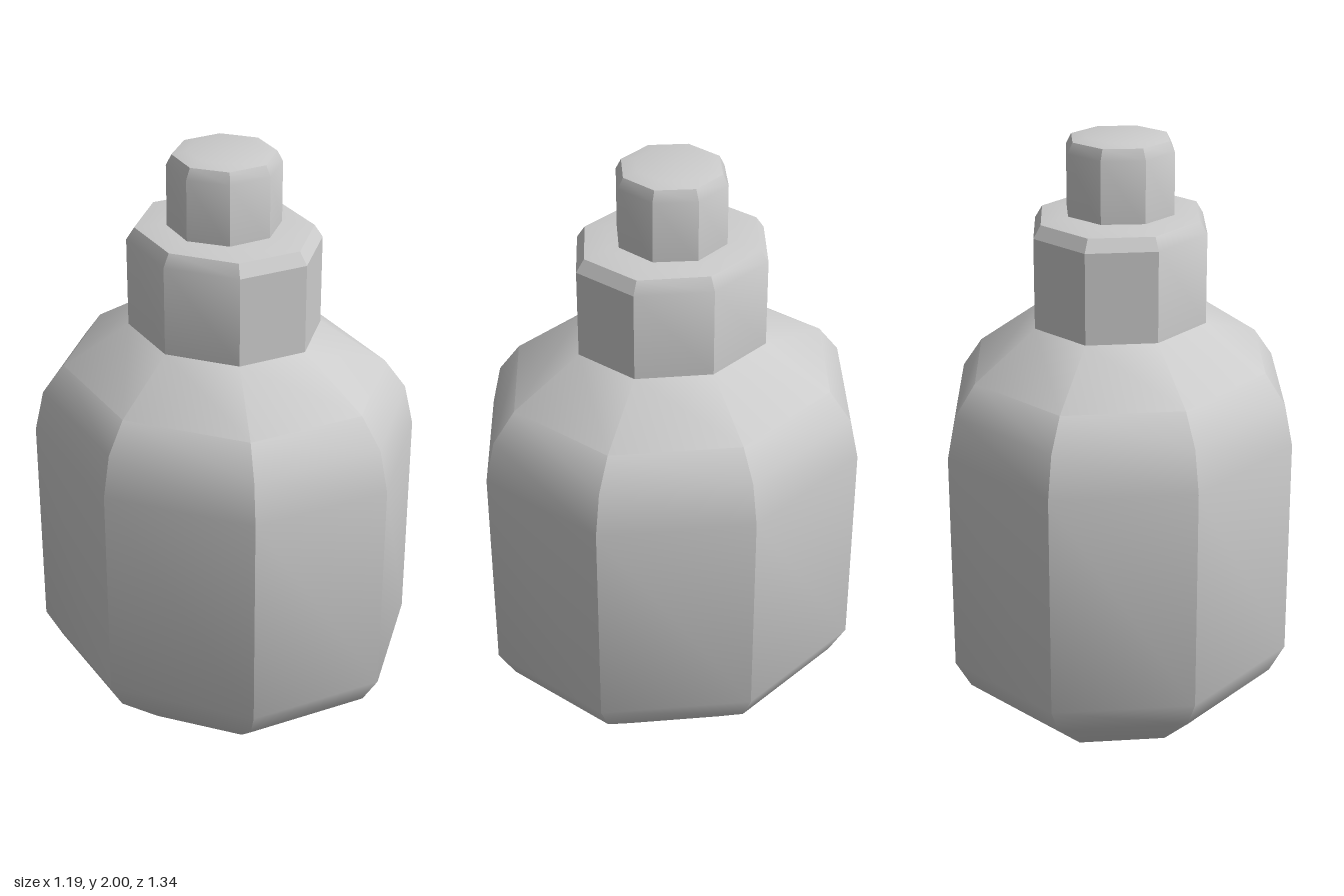
import * as THREE from 'three';
import { toCreasedNormals } from 'three/addons/utils/BufferGeometryUtils.js';

const material = new THREE.MeshStandardMaterial({ color: 0xcccccc });

// Eight-sided turned part; depth stretches it along z. Profile runs bottom to top.
function octagonPart(name, profile, depth) {
  const points = profile.map(([r, y]) => new THREE.Vector2(r, y));
  const geometry = new THREE.LatheGeometry(points, 8);
  geometry.scale(1, 1, depth);
  const mesh = new THREE.Mesh(toCreasedNormals(geometry, THREE.MathUtils.degToRad(30)), material);
  mesh.name = name;
  return mesh;
}

export function createModel() {
  const model = new THREE.Group();
  model.name = 'bottle';

  // Rounded body with a flat base and sloping shoulder
  model.add(octagonPart('body', [
    [0, 0], [0.37, 0], [0.545, 0.16], [0.597, 0.26], [0.597, 1.01],
    [0.568, 1.15], [0.5, 1.25], [0.295, 1.4], [0, 1.4],
  ], 1.124));

  // Neck collar with a bevelled rim
  model.add(octagonPart('neck', [
    [0.295, 1.4], [0.295, 1.7], [0.27, 1.741], [0.2, 1.752], [0, 1.752],
  ], 1.124));

  // Small stopper with a slightly domed top
  model.add(octagonPart('stopper', [
    [0.184, 1.74], [0.184, 1.955], [0.166, 1.99], [0.12, 2], [0, 2],
  ], 1));

  return model;
}
